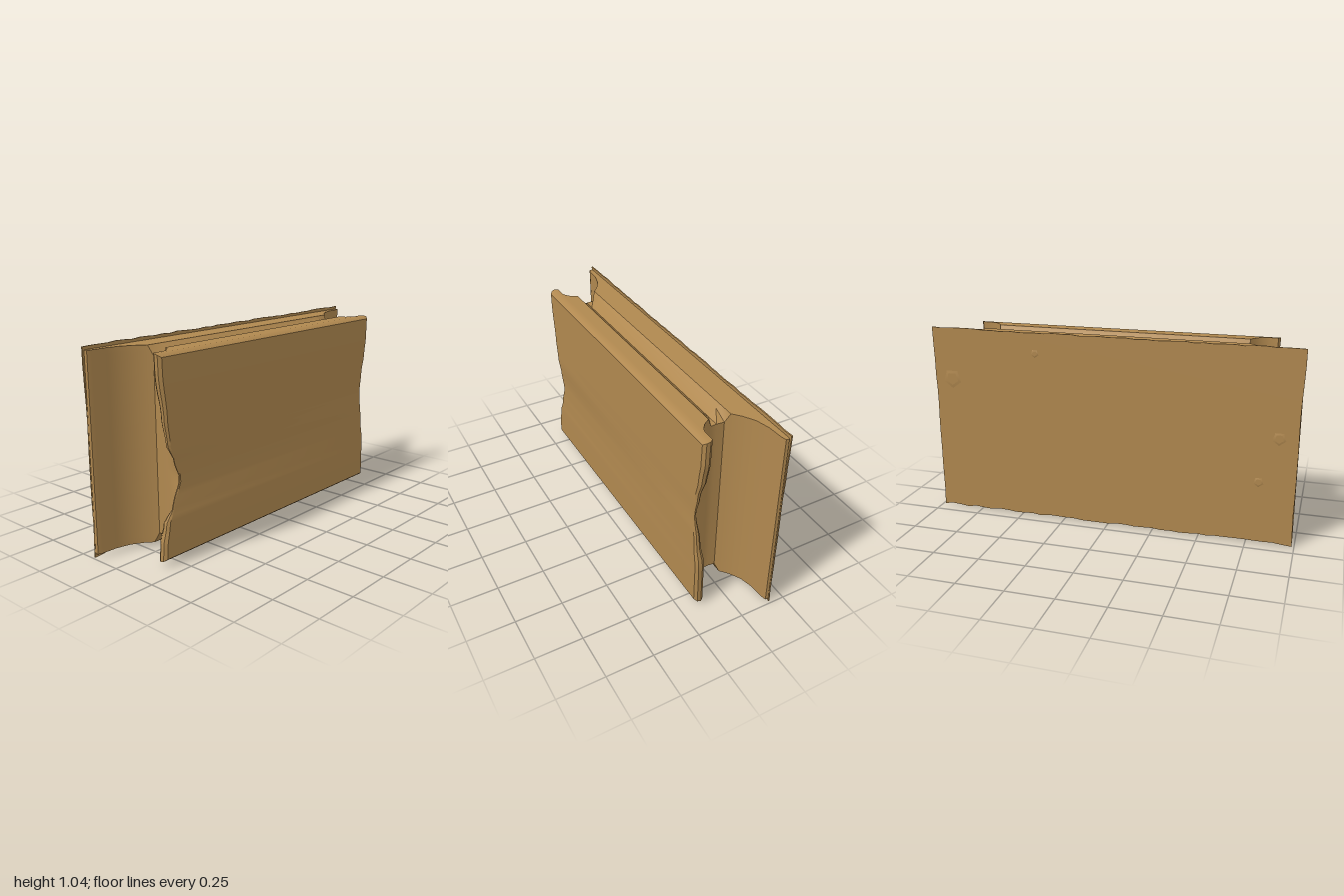
import * as THREE from 'three';
import { toCreasedNormals } from 'three/addons/utils/BufferGeometryUtils.js';

const clay = new THREE.MeshStandardMaterial({ color: 0xb0884f });
clay.name = 'tan clay';

// Half plan of the block, back to front: [x, z]
const PLAN = [
  [0.975, -0.172], [0.988, -0.165], [0.985, -0.15], [0.96, -0.143], [0.88, -0.138],
  [0.81, -0.12], [0.75, -0.085], [0.71, -0.05], [0.692, -0.03], [0.688, 0.01],
  [0.69, 0.04], [0.697, 0.06], [0.72, 0.095], [0.75, 0.118], [0.79, 0.13],
  [0.835, 0.125], [0.846, 0.14], [0.845, 0.16], [0.83, 0.173],
];
const CORE = 0.697;
const FIRST_FLANGE = 12;

// Worn outline of the front flange on each side: [y, x]
const WEAR = {
  1: [[0, 0.838], [0.25, 0.835], [0.4, 0.81], [0.57, 0.785], [0.68, 0.8], [0.8, 0.825], [0.9, 0.84], [1.1, 0.845]],
  '-1': [[0, 0.846], [0.1, 0.84], [0.2, 0.82], [0.3, 0.775], [0.42, 0.73], [0.5, 0.76], [0.6, 0.8], [0.72, 0.815], [0.95, 0.84], [1.1, 0.845]],
};

// Smooth interpolation through a [position, value] list
function sample(list, p) {
  let i = 0;
  while (i < list.length - 2 && p > list[i + 1][0]) i++;
  const [a, b] = [list[i], list[i + 1]];
  return THREE.MathUtils.lerp(a[1], b[1], THREE.MathUtils.smoothstep(p, a[0], b[0]));
}

function seeded(seed) {
  return () => (seed = (seed * 16807) % 2147483647) / 2147483647;
}

// How far the top and bottom faces are cut in at depth z
function cut(z, atEnd) {
  if (atEnd && z > -0.04 && z < 0.05) return 0.05;
  if (z > 0.13) return 0.016 * ((z - 0.13) / 0.043) ** 3;
  return 0.05 * Math.max(0, z < 0.01 ? (z + 0.05) / 0.06 : (0.06 - z) / 0.05);
}

function planPoint(i, side, y) {
  let [x, z] = PLAN[i];
  if (i >= FIRST_FLANGE) {
    const edge = sample(WEAR[side], y);
    x = CORE + (x - CORE) * (edge - CORE) / (0.846 - CORE);
    const thin = Math.min(1, Math.max(0, (0.83 - edge) / 0.05));
    z += (0.17 - z) * thin * 0.75 * Math.min(1, (i - FIRST_FLANGE) / 3);
  }
  return [side * x, z];
}

function blockGeometry() {
  const pos = [], index = [];
  const n = PLAN.length, levels = 32;
  const quad = (a, b, c, d) => index.push(a, b, c, a, c, d);

  // Side walls: one closed ring at each level
  const ring = [];
  for (let i = 0; i < n; i++) ring.push([i, 1]);
  for (let i = n - 1; i >= 0; i--) ring.push([i, -1]);
  for (let j = 0; j <= levels; j++) {
    for (const [i, side] of ring) {
      const c = cut(PLAN[i][1], true);
      const y = THREE.MathUtils.lerp(0.025 + c, 1.025 - c, j / levels);
      const [x, z] = planPoint(i, side, y);
      pos.push(x, y, z);
    }
  }
  const m = ring.length;
  for (let j = 0; j < levels; j++) {
    for (let i = 0; i < m; i++) {
      const k = (i + 1) % m;
      quad(j * m + i, (j + 1) * m + i, (j + 1) * m + k, j * m + k);
    }
  }

  // Top and bottom faces with the long V groove, flared at its ends
  for (const top of [true, false]) {
    const start = pos.length / 3;
    for (let i = 0; i < n; i++) {
      for (const [side, end] of [[-1, true], [-1, false], [1, false], [1, true]]) {
        const c = cut(PLAN[i][1], end);
        const y = top ? 1.025 - c : 0.025 + c;
        const [x, z] = planPoint(i, side, y);
        pos.push(end ? x : side * 0.62, y, z);
      }
    }
    for (let i = 0; i < n - 1; i++) {
      for (let k = 0; k < 3; k++) {
        const a = start + i * 4 + k;
        if (top) quad(a, a + 4, a + 5, a + 1);
        else quad(a, a + 1, a + 5, a + 4);
      }
    }
  }
  const g = new THREE.BufferGeometry();
  g.setAttribute('position', new THREE.Float32BufferAttribute(pos, 3));
  g.setIndex(index);
  return toCreasedNormals(g, 0.6);
}

// Thin ragged sheet along the back
function lipGeometry() {
  const rand = seeded(41);
  const r = (s) => (rand() - 0.5) * s;
  const pts = [];
  const N = 40;
  for (let i = 0; i <= N; i++) pts.push(new THREE.Vector2(-0.988 + 1.976 * i / N, 0.008 + r(0.01)));
  for (let i = 1; i < 12; i++) pts.push(new THREE.Vector2(0.985 + r(0.004) + 0.01 * (i / 12) ** 4, 1.04 * i / 12));
  for (let i = N; i >= 0; i--) pts.push(new THREE.Vector2(-0.994 + 1.988 * i / N, 1.041 + r(0.007)));
  for (let i = 11; i > 0; i--) pts.push(new THREE.Vector2(-0.985 + r(0.004) - 0.01 * (i / 12) ** 4, 1.04 * i / 12));
  return new THREE.ExtrudeGeometry(new THREE.Shape(pts), { depth: 0.007, bevelEnabled: false });
}

export function createModel() {
  const group = new THREE.Group();
  group.name = 'groovedBlock';
  const add = (name, geometry) => {
    const mesh = new THREE.Mesh(geometry, clay);
    mesh.name = name;
    group.add(mesh);
    return mesh;
  };

  add('block', blockGeometry());
  add('backLip', lipGeometry()).position.z = -0.176;

  // Low raised scars on the back: x, y, radius
  for (const [x, y, r] of [[0.89, 0.76, 0.06], [0.4, 0.93, 0.025], [-0.89, 0.58, 0.04], [-0.8, 0.34, 0.03]]) {
    const scar = add('backScar', new THREE.CylinderGeometry(r, r * 0.6, 0.004, 5));
    scar.rotation.x = Math.PI / 2;
    scar.position.set(x, y, -0.177);
  }
  return group;
}
